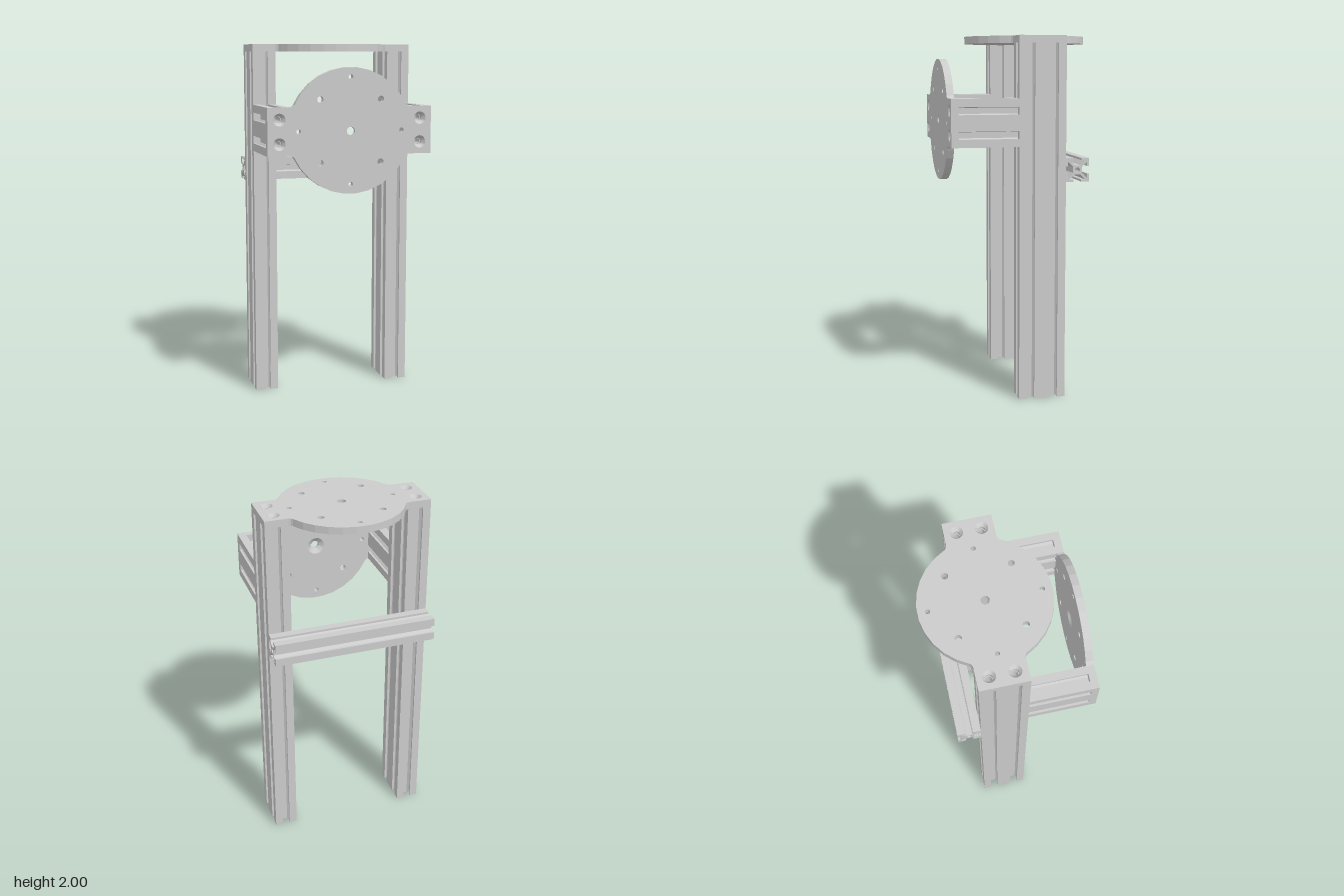
import * as THREE from 'three';
import { toCreasedNormals } from 'three/addons/utils/BufferGeometryUtils.js';

const metal = new THREE.MeshStandardMaterial({ color: 0xcccccc, side: THREE.DoubleSide });

const CELL = 0.13, H = CELL / 2;   // one slotted profile cell and its half width
const PLATE = 0.04;                // plate thickness
const SEG = 24;                    // sides of a round hole

function add(parent, geometry, name) {
  const mesh = new THREE.Mesh(geometry, metal);
  mesh.name = name;
  parent.add(mesh);
  return mesh;
}

function circlePath(x, y, r) {
  const pts = [];
  for (let i = 0; i < SEG; i++) {
    const a = -i / SEG * Math.PI * 2;
    pts.push(new THREE.Vector2(x + r * Math.cos(a), y + r * Math.sin(a)));
  }
  return new THREE.Path(pts);
}

// T-slot profile of n cells stacked along y, extruded along +z
function slotProfile(n, length) {
  const open = 0.021, lip = H - 0.012, web = 0.009, core = 0.025;
  const half = [[H, open], [lip, open], [lip, lip - web], [core, core - web]];
  const slot = [...half.map(([u, v]) => [u, -v]), ...half.slice().reverse()];
  const pts = [];
  const addSlot = (cy, angle) => {
    const c = Math.cos(angle), s = Math.sin(angle);
    for (const [u, v] of slot) pts.push(new THREE.Vector2(u * c - v * s, cy + u * s + v * c));
  };
  const centres = Array.from({ length: n }, (_, i) => (i - (n - 1) / 2) * CELL);
  const end = n * H;

  pts.push(new THREE.Vector2(H, -end));
  centres.forEach((cy) => addSlot(cy, 0));
  pts.push(new THREE.Vector2(H, end));
  addSlot(centres[n - 1], Math.PI / 2);
  pts.push(new THREE.Vector2(-H, end));
  centres.slice().reverse().forEach((cy) => addSlot(cy, Math.PI));
  pts.push(new THREE.Vector2(-H, -end));
  addSlot(centres[0], -Math.PI / 2);

  const shape = new THREE.Shape(pts);
  // Core bores, and the closed chamber between neighbouring cells
  centres.forEach((cy) => shape.holes.push(circlePath(0, cy, 0.014)));
  for (let i = 0; i < n - 1; i++) {
    const mid = (centres[i] + centres[i + 1]) / 2;
    const x1 = core - web, y1 = H - core, y2 = H - lip - web;
    shape.holes.push(new THREE.Path([
      [x1, -y1], [-x1, -y1], [-lip, -y2], [-lip, y2],
      [-x1, y1], [x1, y1], [lip, y2], [lip, -y2],
    ].map(([x, y]) => new THREE.Vector2(x, mid + y))));
  }
  return new THREE.ExtrudeGeometry(shape, { depth: length, bevelEnabled: false });
}

// Round mounting plate with two bolt tabs, outer face towards +z
function mountingPlate(name) {
  const R = 0.342, tabX = 0.46, tabY = 0.13;
  // Upper right quarter of the outline, from the tab to the top
  const quarter = [[tabX, tabY], [0.332, tabY], [0.32, 0.134], [0.311, 0.143], [0.303, 0.158]];
  for (let deg = 36; deg < 90; deg += 12) {
    const a = deg * Math.PI / 180;
    quarter.push([R * Math.cos(a), R * Math.sin(a)]);
  }
  const back = quarter.slice().reverse();
  const shape = new THREE.Shape([
    ...quarter,
    ...back.map(([x, y]) => [-x, y]),
    ...quarter.map(([x, y]) => [-x, -y]),
    ...back.map(([x, y]) => [x, -y]),
  ].map(([x, y]) => new THREE.Vector2(x, y)));

  const hole = (x, y, r) => shape.holes.push(circlePath(x, y, r));
  for (const s of [-1, 1]) {
    hole(0.29 * s, 0, 0.013);
    hole(0, 0.29 * s, 0.013);
    for (const t of [-1, 1]) {
      hole(0.17 * s, 0.17 * t, 0.0175);
      hole(0.395 * s, H * t, 0.034);
    }
  }
  hole(0, 0, 0.05);

  const plate = new THREE.Group();
  plate.name = name;
  add(plate, new THREE.ExtrudeGeometry(shape, { depth: PLATE, bevelEnabled: false }), 'plate');

  // Countersunk lining: wide at one face, narrow at the other
  const countersink = (x, y, wide, narrow, wideZ, label) => {
    const narrowZ = PLATE - wideZ;
    const profile = [[wide, wideZ], [narrow, PLATE / 2], [narrow, narrowZ], [wide, narrowZ]]
      .map(([r, z]) => new THREE.Vector2(r, z));
    if (wideZ === 0) profile.reverse();
    const lining = add(plate, toCreasedNormals(new THREE.LatheGeometry(profile, SEG), 0.5), label);
    lining.rotation.x = Math.PI / 2;
    lining.position.set(x, y, 0);
  };
  for (const s of [-1, 1]) for (const t of [-1, 1]) {
    countersink(0.395 * s, H * t, 0.034, 0.018, PLATE, 'boltCountersink');
  }
  countersink(0, 0, 0.05, 0.023, 0, 'centreCountersink');
  return plate;
}

export function createModel() {
  const model = new THREE.Group();
  model.name = 'profileStand';

  // Double-width uprights and the short arms reaching forward
  const uprightGeo = slotProfile(2, 1.96);
  const armGeo = slotProfile(2, 0.33);
  for (const [side, s] of [['left', 1], ['right', -1]]) {
    const upright = add(model, uprightGeo, side + 'Upright');
    upright.rotation.x = -Math.PI / 2;
    upright.position.set(0.395 * s, 0, -0.08);

    const arm = add(model, armGeo, side + 'Arm');
    arm.position.set(0.395 * s, 1.535, 0.05);
  }

  // Single-width crossbar behind the uprights
  const crossbar = add(model, slotProfile(1, 0.92), 'rearCrossbar');
  crossbar.rotation.y = Math.PI / 2;
  crossbar.position.set(-0.46, 1.275, -0.275);

  // Plates on top and on the front of the arms
  const topPlate = mountingPlate('topPlate');
  topPlate.rotation.x = -Math.PI / 2;
  topPlate.position.set(0, 1.96, -0.08);
  const frontPlate = mountingPlate('frontPlate');
  frontPlate.position.set(0, 1.535, 0.38);
  model.add(topPlate, frontPlate);

  return model;
}
